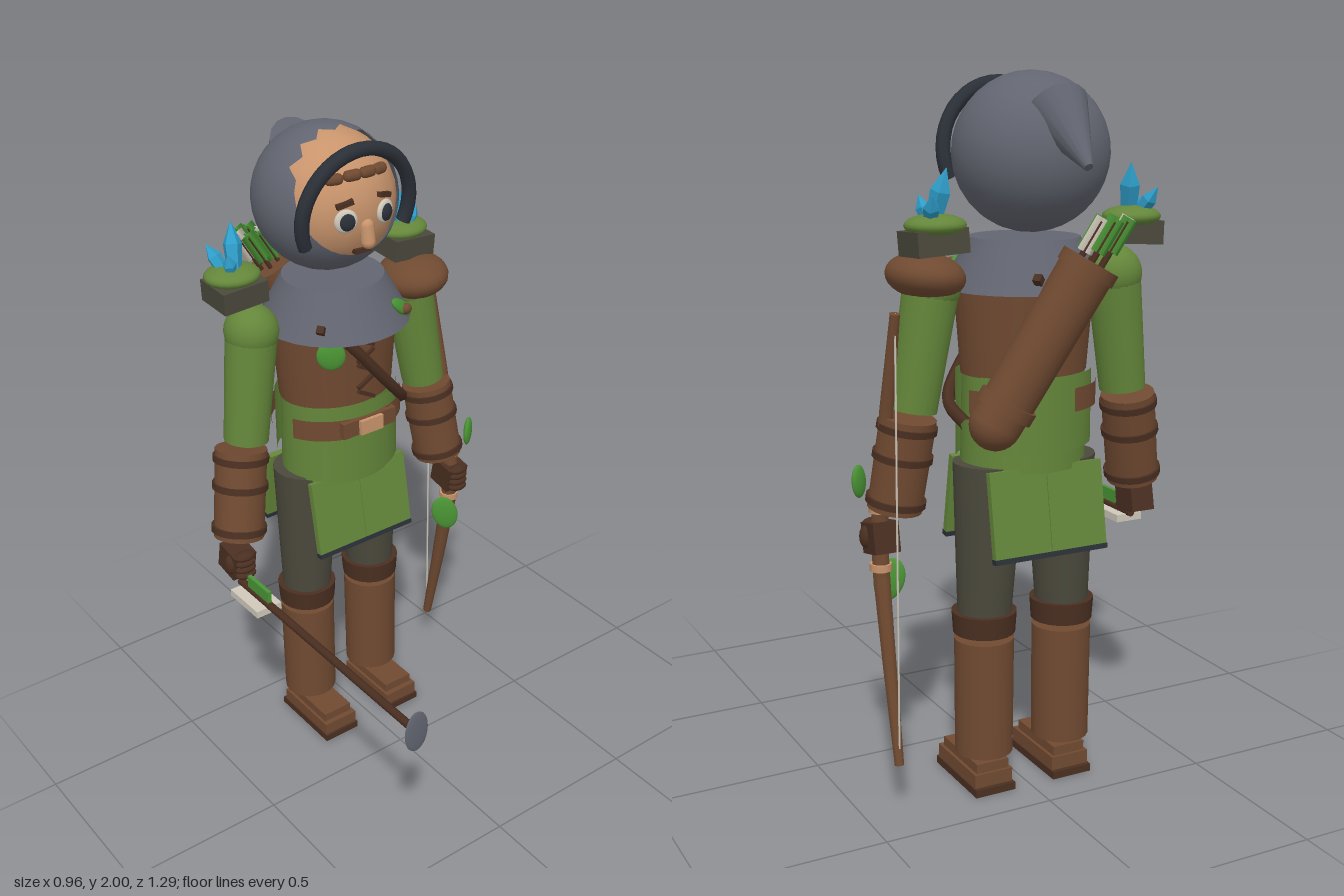
import * as THREE from 'three';

const mat = (name, color, extra = {}) => Object.assign(new THREE.MeshStandardMaterial({ color, ...extra }), { name });
const V = (x, y, z) => new THREE.Vector3(x, y, z);
const CX = -0.01;

export function createModel() {
  const model = new THREE.Group();
  const D = { side: THREE.DoubleSide };
  const skin = mat('skin', 0xc8946c);
  const leather = mat('leather', 0x704a31, D);
  const dark = mat('darkLeather', 0x4a2f21);
  const green = mat('greenCloth', 0x64863a, D);
  const grey = mat('greyCloth', 0x626570, D);
  const olive = mat('oliveCloth', 0x4b493c);
  const black = mat('blackMetal', 0x2b3038);
  const blue = mat('blueCrystal', 0x2f9fcb, { flatShading: true });
  const leaf = mat('leaf', 0x4a9435);
  const cream = mat('cream', 0xcfc8ba);

  const add = (name, geo, m, x = 0, y = 0, z = 0, rx = 0, ry = 0, rz = 0) => {
    const o = new THREE.Mesh(geo, m);
    o.name = name;
    o.position.set(x, y, z);
    o.rotation.set(rx, ry, rz);
    model.add(o);
    return o;
  };
  const box = (name, m, w, h, d, x, y, z, rx, ry, rz) =>
    add(name, new THREE.BoxGeometry(w, h, d), m, x, y, z, rx, ry, rz);
  const ball = (name, m, sx, sy, sz, x, y, z, rx, ry, rz) =>
    add(name, new THREE.SphereGeometry(1, 20, 14).scale(sx, sy, sz), m, x, y, z, rx, ry, rz);
  // Tapered cylinder from a to b
  const rod = (name, m, a, b, ra, rb = ra, seg = 16) => {
    const d = b.clone().sub(a), c = a.clone().add(b).multiplyScalar(0.5);
    const o = add(name, new THREE.CylinderGeometry(rb, ra, d.length(), seg), m, c.x, c.y, c.z);
    o.quaternion.setFromUnitVectors(V(0, 1, 0), d.normalize());
    return o;
  };
  // Elliptical trunk section, or an open strip of one
  const trunk = (name, m, rt, rb, y0, y1, zs, from = 0, arc = Math.PI * 2) =>
    add(name, new THREE.CylinderGeometry(rt, rb, y1 - y0, 28, 1, arc < 6, from, arc).scale(1, 1, zs),
      m, CX, (y0 + y1) / 2, -0.31);

  // Hood with a face opening and a ragged brim
  const hoodGeo = new THREE.SphereGeometry(0.21, 32, 20, 0, Math.PI * 2, 0.96, Math.PI - 0.96);
  const p = hoodGeo.attributes.position;
  for (let i = 0; i <= 32; i++) {
    if (p.getZ(i) > -0.05) continue;
    const a = Math.atan2(p.getZ(i), p.getX(i)), t = 0.94 + (i % 2) * 0.14;
    p.setXYZ(i, 0.21 * Math.sin(t) * Math.cos(a), 0.21 * Math.cos(t), 0.21 * Math.sin(t) * Math.sin(a));
  }
  add('hood', hoodGeo.rotateX(1.22), grey, CX, 1.787, -0.34);
  rod('hoodTail', grey, V(CX, 1.9, -0.47), V(CX, 1.76, -0.63), 0.085, 0.012);
  trunk('mantle', grey, 0.15, 0.225, 1.43, 1.565, 1);

  // Face
  ball('face', skin, 0.2, 0.2, 0.2, CX, 1.787, -0.335);
  for (const s of [-1, 1]) {
    const x = CX + s * 0.066;
    ball('eyeWhite', cream, 0.034, 0.034, 0.012, x, 1.783, -0.146, 0, s * 0.3);
    ball('iris', black, 0.023, 0.025, 0.012, x, 1.782, -0.139, 0, s * 0.3);
    box('eyebrow', dark, 0.05, 0.014, 0.016, x, 1.83, -0.15, 0, s * 0.3, s * -0.25);
  }
  add('nose', new THREE.CapsuleGeometry(0.021, 0.045, 4, 12), skin, CX, 1.735, -0.138, -0.15);
  box('mouth', dark, 0.055, 0.014, 0.02, CX, 1.68, -0.165);
  for (let i = -1.5; i < 2; i++)
    add('hairLock', new THREE.CapsuleGeometry(0.017, 0.022, 3, 8).rotateZ(Math.PI / 2), leather,
      CX + i * 0.05, 1.9 - Math.abs(i) * 0.006, -0.168 - i * i * 0.008, 0, i * 0.15);
  add('headBand', new THREE.TorusGeometry(0.182, 0.021, 8, 26, Math.PI + 0.8).rotateZ(-0.4), black,
    CX, 1.785, -0.188, 0.13);

  // Trunk, belt and apron
  trunk('chest', leather, 0.2, 0.18, 1.2, 1.45, 0.8);
  trunk('tunic', green, 0.175, 0.18, 0.94, 1.2, 0.82);
  for (const a of [0, Math.PI]) trunk('apron', green, 0.193, 0.193, a ? 1.0 : 0.96, 1.205, 0.84, a - 1.08, 2.16);
  for (let i = 0; i < 4; i++)
    trunk('beltSide', leather, 0.207, 0.207, 1.105, 1.17, 0.83, Math.PI / 4 + i * Math.PI / 2 - 0.45, 0.9);
  box('buckleStrap', leather, 0.19, 0.05, 0.025, CX, 1.14, -0.148);
  box('buckle', skin, 0.08, 0.045, 0.03, CX, 1.14, -0.138);
  for (let i = 0; i < 5; i++)
    box('lacing', dark, 0.065, 0.01, 0.012, CX, 1.4 - i * 0.042, -0.153, 0, 0, i % 2 ? 0.5 : -0.5);
  // Quiver strap around the chest
  const strap = new THREE.CatmullRomCurve3([V(-0.12, 1.46, -0.17), V(-0.07, 1.41, -0.15),
    V(0.03, 1.29, -0.145), V(0.12, 1.19, -0.17), V(0.19, 1.12, -0.25), V(0.2, 1.08, -0.38)]);
  add('quiverStrap', new THREE.TubeGeometry(strap, 20, 0.018, 6), dark);

  // Skirt panels
  for (const [z, tilt] of [[-0.19, -0.17], [-0.45, 0.17]])
    for (const s of [-1, 1]) {
      box('skirtPanel', green, 0.172, 0.235, 0.02, CX + s * 0.087, 0.838, z, tilt);
      box('skirtTrim', black, 0.174, 0.014, 0.024, CX + s * 0.087, 0.717, z - Math.sign(tilt) * 0.021, tilt);
    }

  // Legs, boots and shoes
  for (const s of [-1, 1]) {
    const x = CX + s * 0.125;
    rod('trouserLeg', olive, V(x, 0.5, -0.32), V(CX + s * 0.112, 0.955, -0.32), 0.075, 0.1, 20);
    rod('kneeCuff', dark, V(x, 0.468, -0.32), V(x, 0.53, -0.32), 0.088, 0.092, 20);
    rod('boot', leather, V(x, 0.11, -0.32), V(x, 0.45, -0.32), 0.083, 0.085, 20);
    box('sole', dark, 0.125, 0.022, 0.255, x, 0.011, -0.268);
    box('shoe', leather, 0.118, 0.04, 0.235, x, 0.042, -0.265);
    box('shoeTop', leather, 0.1, 0.03, 0.21, x, 0.075, -0.27);
  }

  // Arms, bracers and gloves
  const arm = (sh, el, el2, wr, hand) => {
    ball('shoulder', green, 0.08, 0.08, 0.08, sh.x, sh.y, sh.z);
    rod('upperArm', green, el, sh, 0.066, 0.076, 20);
    rod('bracer', leather, wr, el2, 0.075, 0.077, 20);
    for (const t of [0.06, 0.55, 0.86]) {
      const a = wr.clone().lerp(el2, t), b = wr.clone().lerp(el2, t + 0.07);
      rod('bracerBand', dark, a, b, 0.083, 0.083, 20);
    }
    box('glove', dark, 0.075, 0.085, 0.085, hand.x, hand.y, hand.z, 0.2, 0, 0);
    for (let i = 0; i < 4; i++)
      ball('finger', dark, 0.034, 0.014, 0.022, hand.x, hand.y + 0.03 - i * 0.021, hand.z + 0.045);
    ball('thumb', dark, 0.018, 0.032, 0.022, hand.x - Math.sign(hand.x) * -0.035, hand.y, hand.z + 0.02);
  };
  arm(V(-0.285, 1.45, -0.325), V(-0.333, 1.12, -0.31), V(-0.355, 1.1, -0.305), V(-0.405, 0.835, -0.265), V(-0.425, 0.77, -0.25));
  arm(V(0.275, 1.45, -0.325), V(0.325, 1.12, -0.31), V(0.335, 1.1, -0.305), V(0.365, 0.845, -0.275), V(0.4, 0.765, -0.26));
  ball('shoulderPad', leather, 0.105, 0.062, 0.118, 0.29, 1.475, -0.32, 0, 0, 0.12);

  // Mossy stones with crystals above the shoulders
  for (const s of [-1, 1]) {
    const x = CX + s * 0.297;
    box('stoneBase', olive, 0.145, 0.065, 0.125, x, 1.567, -0.365, 0.05, 0, s * -0.06);
    ball('moss', green, 0.083, 0.03, 0.075, x, 1.61, -0.375);
    const crystal = (b, t, r) => {
      const m = b.clone().lerp(t, 0.6);
      rod('crystal', blue, b, m, r * 0.75, r, 5);
      rod('crystalTip', blue, m, t, r, 0.001, 5);
    };
    crystal(V(x, 1.61, -0.36), V(x - s * 0.02, 1.755, -0.4), 0.028);
    crystal(V(x + s * 0.015, 1.61, -0.38), V(x + s * 0.04, 1.69, -0.44), 0.022);
    crystal(V(x + s * 0.01, 1.61, -0.36), V(x + s * 0.03, 1.685, -0.34), 0.02);
  }

  // Quiver with arrows
  const qb = V(0.17, 1.1, -0.485), qt = V(-0.06, 1.52, -0.57);
  const along = t => qb.clone().lerp(qt, t);
  rod('quiver', leather, qb, qt, 0.07, 0.075, 20);
  ball('quiverEnd', leather, 0.07, 0.07, 0.07, qb.x, qb.y, qb.z);
  for (const t of [0.08, 0.93]) rod('quiverBand', leather, along(t), along(t + 0.07), 0.08, 0.08, 20);
  for (let i = 0; i < 6; i++) {
    const a = i * Math.PI / 3, o = V(0.038 * Math.cos(a), 0, 0.038 * Math.sin(a));
    rod('arrowShaft', dark, along(0.9).add(o), along(1.24).add(o), 0.007, 0.007, 6);
    for (const r of [0, 1]) {
      const f = rod('arrowFletching', i % 3 ? leaf : cream, along(1.06).add(o), along(1.26).add(o), 0.024, 0.024, 4);
      f.geometry.scale(r ? 1 : 0.12, 1, r ? 0.12 : 1);
    }
  }

  // Long arrow in the right hand
  rod('longArrowShaft', dark, V(-0.435, 0.707, -0.22), V(-0.435, 0.707, 0.6), 0.012, 0.012, 8);
  ball('longArrowTip', grey, 0.038, 0.065, 0.006, -0.435, 0.707, 0.633);
  box('longArrowFeather', cream, 0.085, 0.022, 0.145, -0.437, 0.69, -0.135);
  box('longArrowFeather', leaf, 0.012, 0.04, 0.11, -0.435, 0.735, -0.115);

  // Bow in the left hand
  const pts = [[0.14, -0.365], [0.4, -0.31], [0.65, -0.262], [0.765, -0.25], [0.88, -0.262], [1.13, -0.31], [1.39, -0.37]];
  for (let i = 0; i < 6; i++) {
    const [a, b] = [pts[i], pts[i + 1]], r = j => [0.014, 0.02, 0.025, 0.025, 0.025, 0.02, 0.014][j];
    rod('bowLimb', leather, V(0.4, a[0], a[1]), V(0.4, b[0], b[1]), r(i), r(i + 1), 8);
  }
  rod('bowString', cream, V(0.4, 0.14, -0.367), V(0.4, 1.39, -0.37), 0.003, 0.003, 5);
  for (const y of [0.68, 0.845]) rod('bowWrap', skin, V(0.4, y - 0.01, -0.258), V(0.4, y + 0.01, -0.258), 0.031, 0.031, 10);
  ball('bowLeaf', leaf, 0.03, 0.047, 0.012, 0.447, 0.918, -0.225, 0, 0.6, -0.15);
  ball('bowLeaf', leaf, 0.042, 0.063, 0.012, 0.365, 0.63, -0.235, 0, -0.5, 0.3);

  // Leaf pins on the mantle and chest
  ball('leafPin', leaf, 0.05, 0.022, 0.012, 0.105, 1.485, -0.135, -0.5, 0.5, -0.45);
  ball('leafPinStud', leather, 0.018, 0.016, 0.014, 0.115, 1.48, -0.125);
  ball('chestLeaf', leaf, 0.042, 0.045, 0.012, -0.125, 1.385, -0.163, 0, -0.5, 0.3);
  for (const [x, z] of [[-0.155, -0.165], [0.06, -0.51]])
    box('mantleStud', dark, 0.022, 0.022, 0.022, x, 1.472, z, 0, 0.6, 0.78);
  return model;
}
